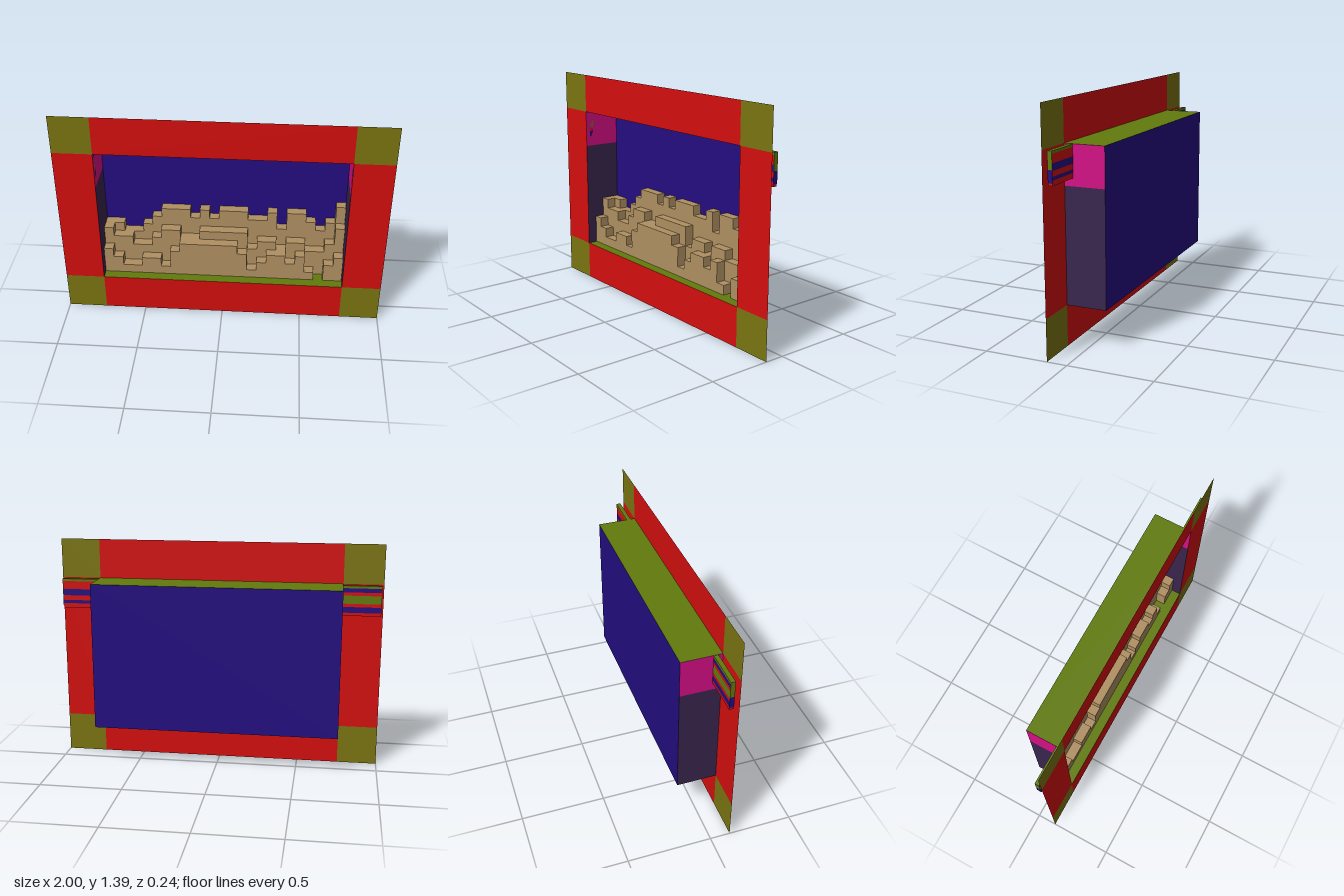
import * as THREE from 'three';
import { mergeGeometries } from 'three/addons/utils/BufferGeometryUtils.js';

const mat = (name, color) => {
  const m = new THREE.MeshStandardMaterial({ color, side: THREE.DoubleSide });
  m.name = name;
  return m;
};

export function createModel() {
  const red = mat('red', 0xd40e0e), olive = mat('olive', 0x7b7511), blue = mat('deep blue', 0x240d80);
  const sand = mat('sand', 0xb09062), magenta = mat('magenta', 0xd50f85);
  const purple = mat('dark purple', 0x39254d), green = mat('leaf green', 0x627b0d);
  const group = new THREE.Group();
  group.name = 'displayTank';

  // Inner opening and outer frame limits
  const W = 0.757, D = 0.12, Y0 = 0.242, Y1 = 1.152, TOP = 1.395, SPLIT = 0.92;

  const add = (name, geo, material) => {
    const mesh = new THREE.Mesh(geo, material);
    mesh.name = name;
    group.add(mesh);
    return mesh;
  };
  const box = (x0, x1, y0, y1, z0, z1) =>
    new THREE.BoxGeometry(x1 - x0, y1 - y0, z1 - z0)
      .translate((x0 + x1) / 2, (y0 + y1) / 2, (z0 + z1) / 2);
  const panel = (x0, x1, y0, y1, z) =>
    new THREE.PlaneGeometry(x1 - x0, y1 - y0).translate((x0 + x1) / 2, (y0 + y1) / 2, z);

  // Flat front frame: red bars with olive corners
  const xs = [-1, -W, W, 1], ys = [0, Y0, Y1, TOP];
  for (let i = 0; i < 3; i++) {
    for (let j = 0; j < 3; j++) {
      if (i === 1 && j === 1) continue;
      const corner = i !== 1 && j !== 1;
      add(corner ? 'frameCorner' : 'frameBar',
        panel(xs[i], xs[i + 1], ys[j], ys[j + 1], D), corner ? olive : red);
    }
  }

  // Open-fronted tank behind the frame
  add('backWall', panel(-W, W, Y0, Y1, -D).rotateY(0), blue);
  for (const [name, y, turn] of [['floor', Y0, 1], ['ceiling', Y1, -1]]) {
    add(name, new THREE.PlaneGeometry(2 * W, 2 * D).rotateX(turn * -Math.PI / 2).translate(0, y, 0), green);
  }
  for (const s of [-1, 1]) {
    const side = (y0, y1) => new THREE.PlaneGeometry(2 * D, y1 - y0)
      .rotateY(s * Math.PI / 2).translate(s * W, (y0 + y1) / 2, 0);
    add('lowerSideWall', side(Y0, SPLIT), purple);
    add('upperSideWall', side(SPLIT, Y1), magenta);
  }

  // Stepped sand: column heights for three rows, back to front
  const rows = [
    [5, 5, 4, 4, 5, 6, 7, 7, 7, 6, 7, 6, 7, 7, 7, 6, 6, 7, 5, 7, 7, 6, 5, 6, 8],
    [5, 4, 4, 3, 3, 4, 5, 5, 4, 4, 5, 5, 5, 5, 5, 3, 4, 4, 3, 4, 4, 3, 3, 4, 6],
    [3, 2, 1, 1, 2, 2, 1, 3, 4, 4, 4, 4, 4, 4, 3, 1, 2, 3, 3, 2, 3, 1, 0, 2, 3],
  ];
  const cell = 2 * W / 25, gap = 0.002;
  rows.forEach((heights, r) => {
    const blocks = [];
    for (let i = 0; i < 25;) {
      let j = i;
      while (j < 25 && heights[j] === heights[i]) j++;
      if (heights[i] > 0) {
        blocks.push(box(Math.max(-W + i * cell, -W + gap), Math.min(-W + j * cell, W - gap),
          Y0 + gap, Y0 + heights[i] * cell, -D + r * 0.06 + (r ? 0 : gap), -D + (r + 1) * 0.06));
      }
      i = j;
    }
    add('sandRow' + (r + 1), mergeGeometries(blocks), sand);
  });

  // Small banded side tabs, tucked behind the frame
  const bands = {
    1: [[0.966, 0.995, red], [0.995, 1.015, blue], [1.015, 1.045, red], [1.045, 1.085, blue],
      [1.085, 1.135, red], [1.135, 1.15, green]],
    '-1': [[0.966, 0.985, red], [0.985, 1.02, blue], [1.02, 1.04, red], [1.04, 1.09, green],
      [1.09, 1.11, red], [1.11, 1.135, blue], [1.135, 1.15, green]],
  };
  for (const s of [-1, 1]) {
    const a = s * W, b = s * 0.985;
    for (const [y0, y1, m] of bands[s]) {
      add('sideTabBand', box(Math.min(a, b), Math.max(a, b), y0, y1, 0.068, 0.094), m);
    }
    // End cap: green above, blue below
    const e = s * 0.988;
    add('sideTabEndUpper', box(Math.min(b, e), Math.max(b, e), 1.05, 1.15, 0.068, 0.094), green);
    add('sideTabEndLower', box(Math.min(b, e), Math.max(b, e), 0.98, 1.05, 0.068, 0.094), blue);
  }
  return group;
}
